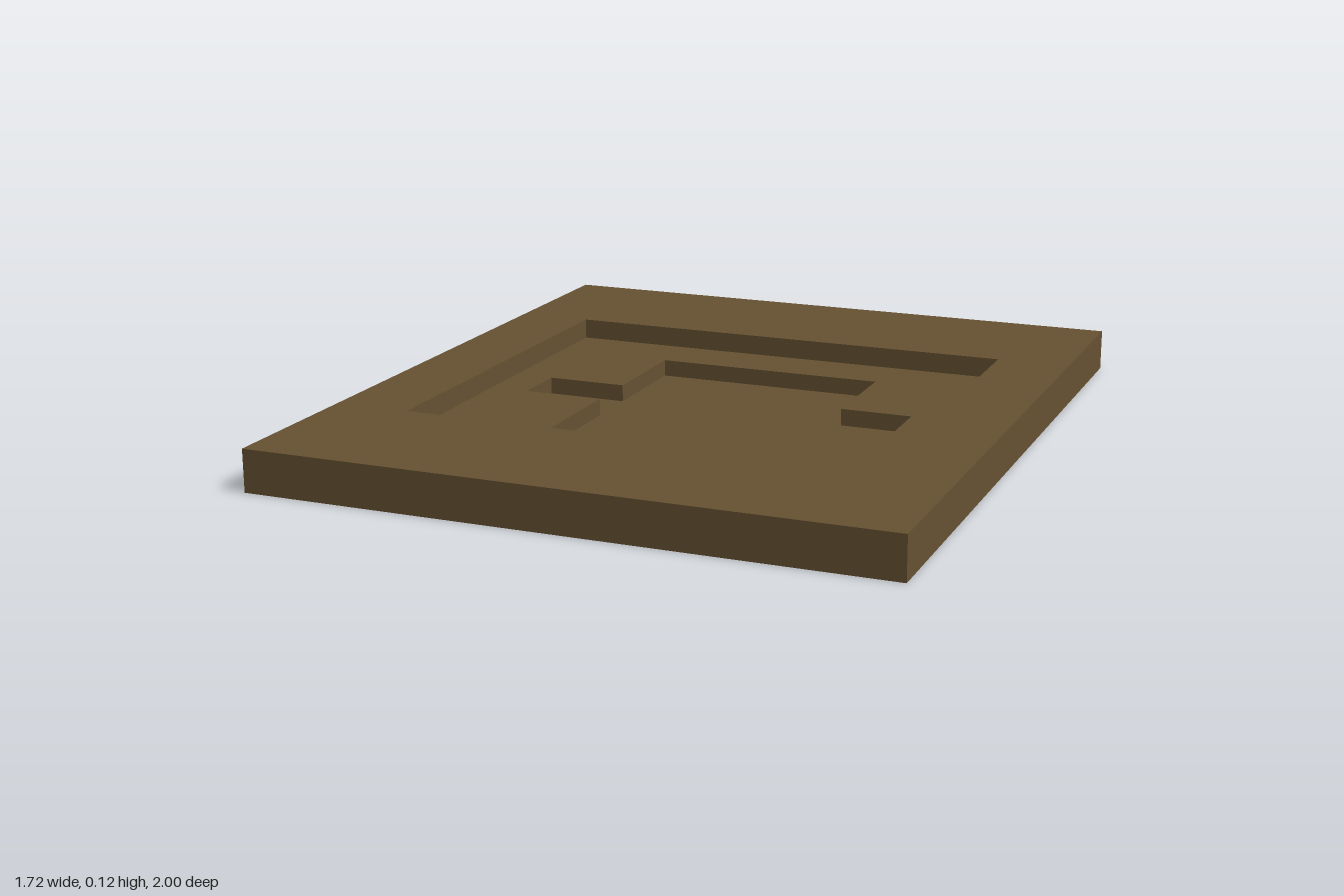
import * as THREE from 'three';

// Heights: slab top, ledge of the square recess, floor of the cross recess
const TOP = 0.115, LEDGE = 0.058, FLOOR = 0.011;

// Outlines as [x, -z], counter-clockwise seen from above
const rect = (x0, y0, x1, y1) => [[x0, y0], [x1, y0], [x1, y1], [x0, y1]];
const slabOutline = rect(-0.86, -1, 0.86, 1);
const recessOutline = rect(-0.65, -0.55, 0.655, 0.555);
const crossOutline = [
  [-0.315, -0.38], [0.34, -0.38], [0.34, -0.07], [0.54, -0.07], [0.54, 0.085], [0.34, 0.085],
  [0.34, 0.39], [-0.315, 0.39], [-0.315, 0.085], [-0.54, 0.085], [-0.54, -0.07], [-0.315, -0.07],
];

const toVectors = (outline) => outline.map(([x, y]) => new THREE.Vector2(x, y));

// Flat level surface facing up, with an optional opening
function level(outline, y, opening) {
  const shape = new THREE.Shape(toVectors(outline));
  if (opening) shape.holes.push(new THREE.Path(toVectors(opening)));
  return new THREE.ShapeGeometry(shape).rotateX(-Math.PI / 2).translate(0, y, 0);
}

// Upright walls along an outline; inward walls line a recess
function walls(outline, y0, y1, inward = false) {
  const pts = inward ? [...outline].reverse() : outline;
  const pos = [];
  pts.forEach(([ax, ay], i) => {
    const [bx, by] = pts[(i + 1) % pts.length];
    pos.push(ax, y0, -ay, bx, y0, -by, bx, y1, -by);
    pos.push(ax, y0, -ay, bx, y1, -by, ax, y1, -ay);
  });
  const geo = new THREE.BufferGeometry();
  geo.setAttribute('position', new THREE.Float32BufferAttribute(pos, 3));
  geo.computeVertexNormals();
  return geo;
}

export function createModel() {
  const group = new THREE.Group();
  group.name = 'recessedSlab';
  const brown = new THREE.MeshStandardMaterial({ color: 0x665233 });
  brown.name = 'brown';

  const add = (name, geometry) => {
    const mesh = new THREE.Mesh(geometry, brown);
    mesh.name = name;
    group.add(mesh);
  };

  // Outer slab
  add('slabTop', level(slabOutline, TOP, recessOutline));
  add('slabSides', walls(slabOutline, 0, TOP));
  add('slabBottom', level(slabOutline, 0).rotateX(Math.PI));

  // Rectangular recess
  add('recessWalls', walls(recessOutline, LEDGE, TOP, true));
  add('recessLedge', level(recessOutline, LEDGE, crossOutline));

  // Deeper cross-shaped recess
  add('crossWalls', walls(crossOutline, FLOOR, LEDGE, true));
  add('crossFloor', level(crossOutline, FLOOR));

  return group;
}
